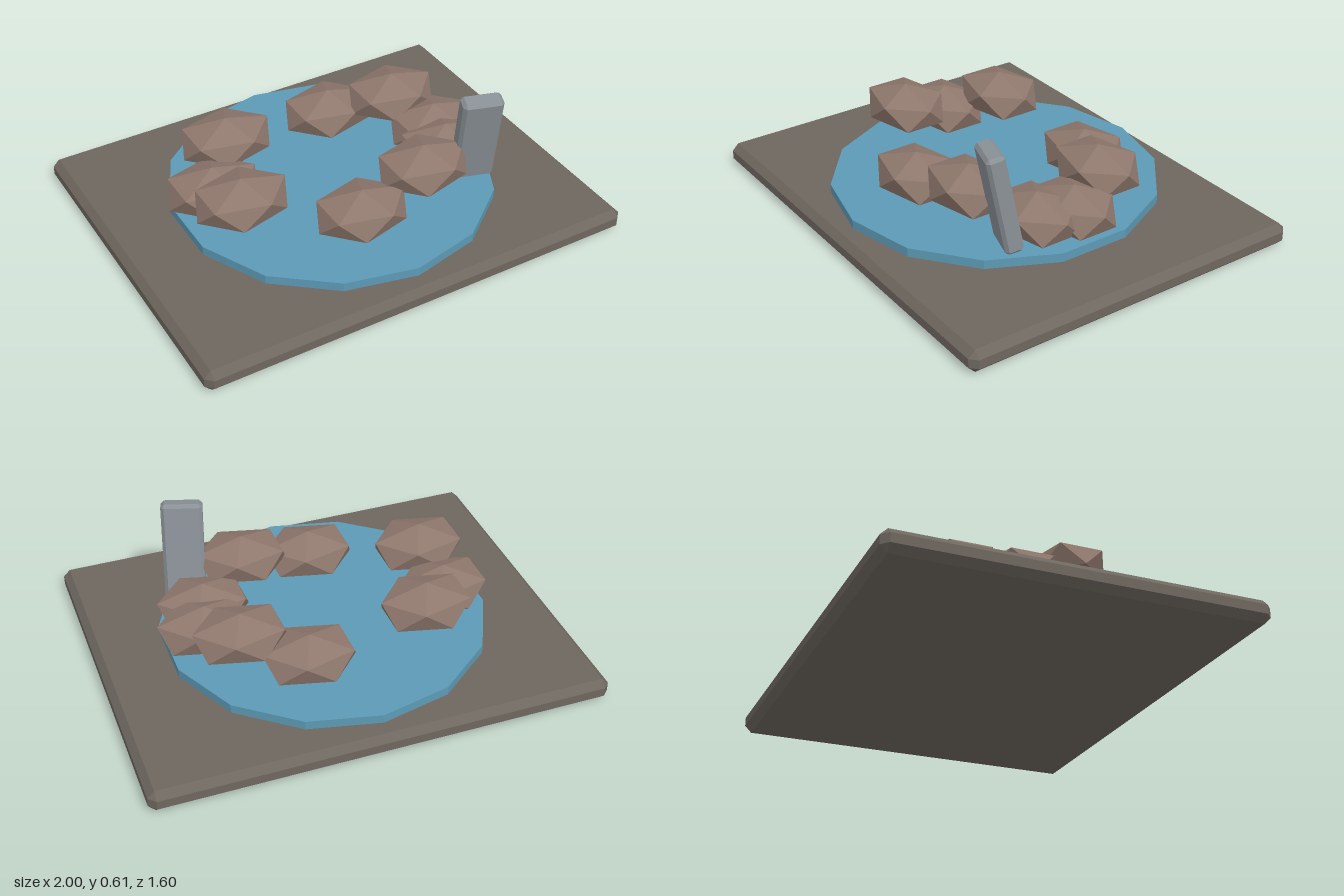
import * as THREE from 'three';
import { ConvexGeometry } from 'three/addons/geometries/ConvexGeometry.js';

const material = (color) => new THREE.MeshStandardMaterial({ color, flatShading: true });

// Box with every edge and corner cut by a single flat bevel
function bevelledBox(w, h, d, bevel) {
  const points = [];
  for (const sx of [-1, 1]) for (const sy of [-1, 1]) for (const sz of [-1, 1]) {
    for (let axis = 0; axis < 3; axis++) {
      const p = [w / 2, h / 2, d / 2].map((half, i) => (i === axis ? half : half - bevel));
      points.push(new THREE.Vector3(p[0] * sx, p[1] * sy, p[2] * sz));
    }
  }
  return new ConvexGeometry(points);
}

// Squashed icosahedron standing on a corner: two poles and two rings of five
function rockGeometry(rx, ry, rz) {
  const points = [new THREE.Vector3(0, ry, 0), new THREE.Vector3(0, -ry, 0)];
  const height = 1 / Math.sqrt(5), radius = 2 / Math.sqrt(5);
  for (let i = 0; i < 10; i++) {
    const a = (i * Math.PI) / 5;
    const side = i % 2 === 0 ? 1 : -1;
    points.push(new THREE.Vector3(
      rx * radius * Math.cos(a), ry * height * side, rz * radius * Math.sin(a)));
  }
  return new ConvexGeometry(points);
}

export function createModel() {
  const model = new THREE.Group();
  model.name = 'rockPool';

  const add = (name, geometry, mat, x, y, z, parent = model) => {
    const mesh = new THREE.Mesh(geometry, mat);
    mesh.name = name;
    mesh.position.set(x, y, z);
    parent.add(mesh);
    return mesh;
  };

  // Ground slab
  add('groundSlab', bevelledBox(2, 0.1, 1.6, 0.03), material(0x6e675f), 0, 0.05, 0);

  // Fourteen-sided pool of water, floating just above the slab
  add('water', new THREE.CylinderGeometry(0.72, 0.72, 0.04, 14), material(0x5c9ab5), 0, 0.13, 0);

  // Broken ring of rocks, alternating between two heights
  const rocks = new THREE.Group();
  rocks.name = 'rockRing';
  model.add(rocks);
  const low = 0.23, high = 0.31;
  const rock = rockGeometry(0.229, 0.105, 0.176);
  const rockMaterial = material(0x8f786d);
  [
    [-0.365, high, -0.278], [-0.53, low, -0.085], [-0.505, high, 0.14],
    [-0.06, low, 0.365], [0.27, high, 0.32], [0.5, low, 0.145],
    [0.542, low, -0.012], [0.443, high, -0.213], [0.185, low, -0.345],
  ].forEach(([x, y, z], i) => add(`rock${i + 1}`, rock, rockMaterial, x, y, z, rocks));

  // Leaning standing stone
  const stone = add('standingStone', bevelledBox(0.18, 0.45, 0.08, 0.015), material(0x8a9196),
    0.523, 0.387, 0.347);
  stone.rotation.set(0.19, -0.3, 0, 'YXZ');

  return model;
}
